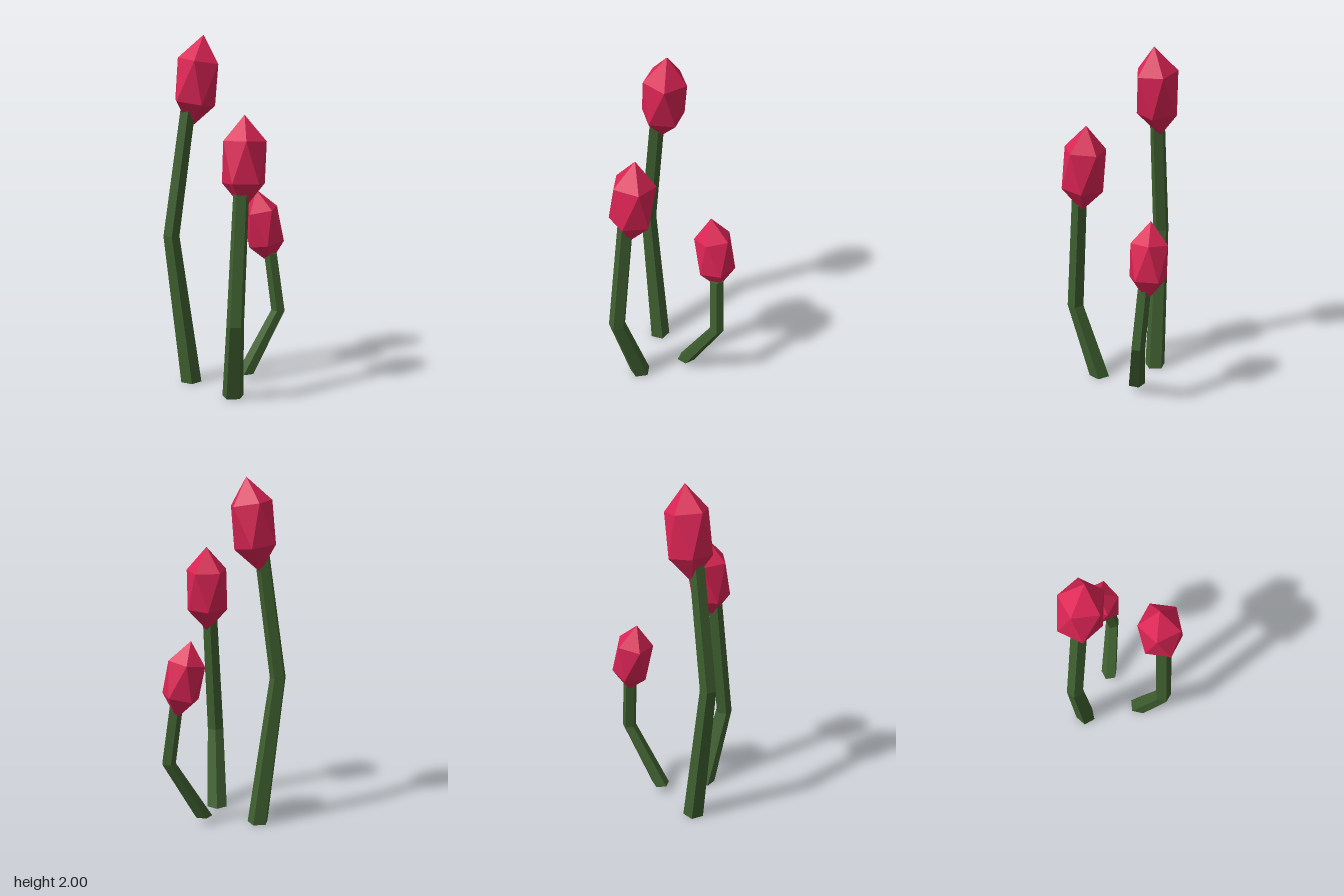
import * as THREE from 'three';
import { ConvexGeometry } from 'three/addons/geometries/ConvexGeometry.js';

const RAD = Math.PI / 180;
const UP = new THREE.Vector3(0, 1, 0);

// Five-sided stem through three [x, y, z, radius] sections, from the ground up
function stemGeometry(sections, phase) {
  const g = new THREE.CylinderGeometry(1, 1, 2, 5, 2);
  g.rotateY((90 - phase) * RAD);
  const p = g.attributes.position;
  for (let i = 0; i < p.count; i++) {
    const [x, y, z, r] = sections[Math.round(p.getY(i) + 1)];
    p.setXYZ(i, x + p.getX(i) * r, y, z + p.getZ(i) * r);
  }
  g.computeVertexNormals();
  return g;
}

// Stretched twenty-sided bud: two points and two staggered rings of five
function budGeometry(base, tip, radius, phase) {
  const from = new THREE.Vector3(...base);
  const axis = new THREE.Vector3(...tip).sub(from);
  const length = axis.length();
  const points = [new THREE.Vector3(), new THREE.Vector3(0, length, 0)];
  for (let i = 0; i < 5; i++) {
    const a = (phase + i * 72) * RAD;
    const b = a + 36 * RAD;
    points.push(
      new THREE.Vector3(Math.cos(a) * radius, length * 0.7236, Math.sin(a) * radius),
      new THREE.Vector3(Math.cos(b) * radius, length * 0.2764, Math.sin(b) * radius));
  }
  const tilt = new THREE.Quaternion().setFromUnitVectors(UP, axis.normalize());
  points.forEach(v => v.applyQuaternion(tilt).add(from));
  return new ConvexGeometry(points);
}

export function createModel() {
  const green = new THREE.MeshStandardMaterial({ color: 0x3f6030, flatShading: true });
  green.name = 'stem green';
  const red = new THREE.MeshStandardMaterial({ color: 0xdc2454, flatShading: true });
  red.name = 'bud crimson';

  const flowers = [
    { name: 'tallFlower',
      stem: [[-0.195, 0, 0.065, 0.062], [-0.285, 0.87, 0.126, 0.048], [-0.203, 1.59, 0.07, 0.044]], stemPhase: 56,
      base: [-0.205, 1.48, 0.045], tip: [-0.13, 2, 0.016], radius: 0.123, budPhase: 4 },
    { name: 'middleFlower',
      stem: [[0.14, 0, 0.19, 0.062], [0.215, 0.45, 0.316, 0.05], [0.217, 1.16, 0.25, 0.045]], stemPhase: 27,
      base: [0.222, 1.075, 0.228], tip: [0.207, 1.58, 0.19], radius: 0.122, budPhase: -12.5 },
    { name: 'shortFlower',
      stem: [[0.085, 0.045, -0.092, 0.052], [0.215, 0.4, -0.265, 0.042], [0.167, 0.74, -0.258, 0.04]], stemPhase: 5,
      base: [0.157, 0.675, -0.27], tip: [0.087, 1.115, -0.222], radius: 0.108, budPhase: 26 },
  ];

  const model = new THREE.Group();
  model.name = 'flowerBuds';
  for (const f of flowers) {
    const flower = new THREE.Group();
    flower.name = f.name;
    const stem = new THREE.Mesh(stemGeometry(f.stem, f.stemPhase), green);
    stem.name = 'stem';
    const bud = new THREE.Mesh(budGeometry(f.base, f.tip, f.radius, f.budPhase), red);
    bud.name = 'bud';
    flower.add(stem, bud);
    model.add(flower);
  }
  return model;
}
